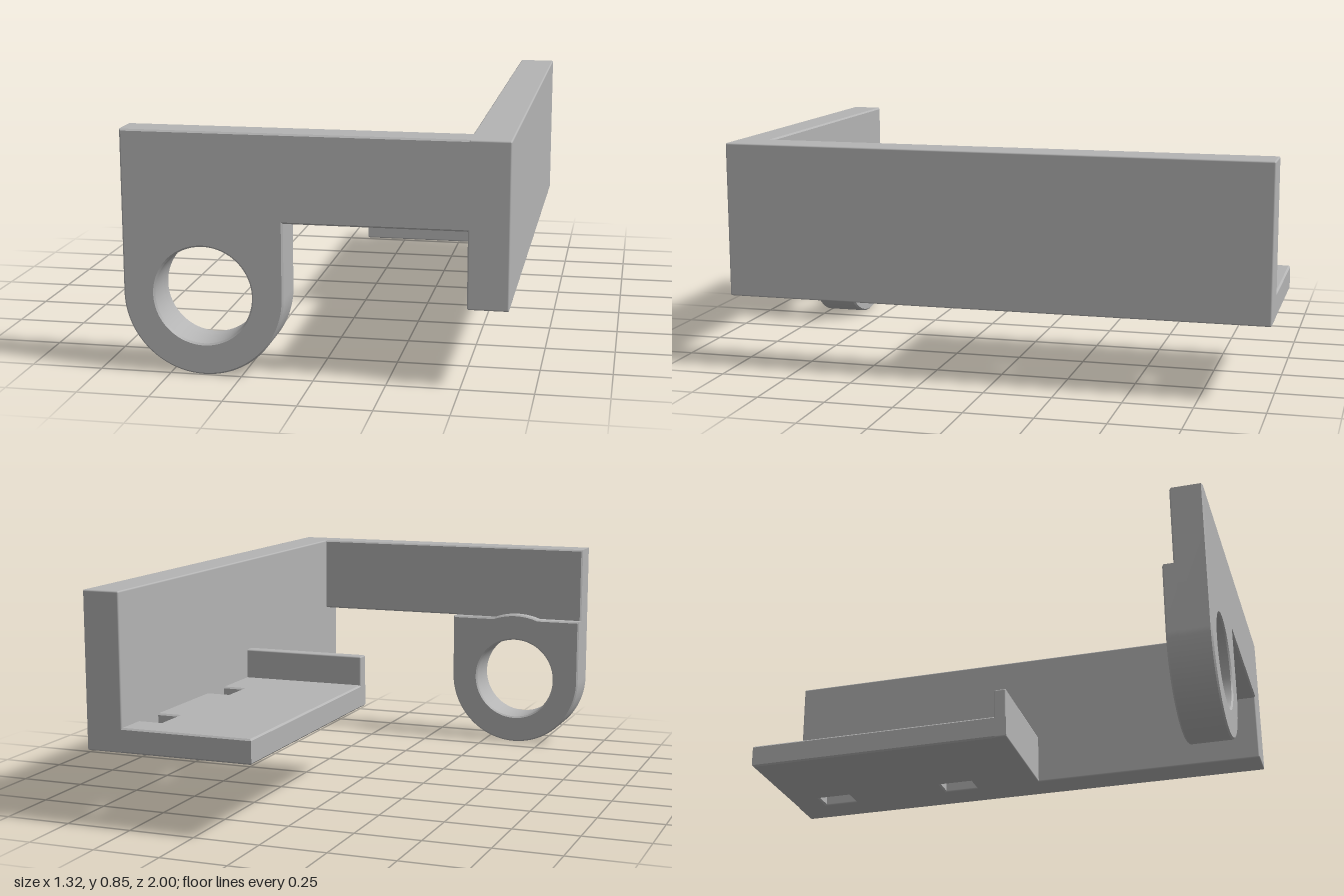
import * as THREE from 'three';
import { toCreasedNormals } from 'three/addons/utils/BufferGeometryUtils.js';
import { RoundedBoxGeometry } from 'three/addons/geometries/RoundedBoxGeometry.js';

const EDGE = 0.006; // small edge break

// Ring eye shared by the front plate and its rear boss
const EYE = { x: -0.38, y: 0.283, outer: 0.28, inner: 0.17 };
const PLATE_BOTTOM = 0.545;

// Extrudes a shape to an exact depth with broken edges, starting at z = 0
function bevelExtrude(shape, depth) {
  const geometry = new THREE.ExtrudeGeometry(shape, {
    depth: depth - 2 * EDGE, curveSegments: 48,
    bevelEnabled: true, bevelSegments: 1,
    bevelSize: EDGE, bevelThickness: EDGE, bevelOffset: -EDGE,
  });
  geometry.translate(0, 0, EDGE);
  return toCreasedNormals(geometry, 0.5);
}

function boxBetween(x0, x1, y0, y1, z0, z1) {
  const geometry = new RoundedBoxGeometry(x1 - x0, y1 - y0, z1 - z0, 2, EDGE);
  geometry.translate((x0 + x1) / 2, (y0 + y1) / 2, (z0 + z1) / 2);
  return geometry;
}

function addEyeHole(shape) {
  const hole = new THREE.Path();
  hole.absarc(EYE.x, EYE.y, EYE.inner, 0, Math.PI * 2, true);
  shape.holes.push(hole);
}

// Starts an outline with the rounded bottom of the eye
function eyeOutline() {
  const shape = new THREE.Shape();
  shape.moveTo(EYE.x - EYE.outer, EYE.y);
  shape.absarc(EYE.x, EYE.y, EYE.outer, Math.PI, Math.PI * 2, false);
  shape.lineTo(EYE.x + EYE.outer, PLATE_BOTTOM);
  return shape;
}

export function createModel() {
  const model = new THREE.Group();
  model.name = 'cornerBracket';
  const grey = new THREE.MeshStandardMaterial({ color: 0xb4b4b4 });
  grey.name = 'light grey';

  function add(name, geometry) {
    const mesh = new THREE.Mesh(geometry, grey);
    mesh.name = name;
    model.add(mesh);
  }

  // Long side wall
  add('sideWall', boxBetween(0.52, 0.66, 0.28, 0.85, -1, 1));

  // Front plate with the hanging eye, run into the side wall
  const plate = eyeOutline();
  plate.lineTo(0.6, PLATE_BOTTOM);
  plate.lineTo(0.6, 0.85);
  plate.lineTo(-0.66, 0.85);
  plate.closePath();
  addEyeHole(plate);
  add('frontPlate', bevelExtrude(plate, 0.12).translate(0, 0, 0.88));

  // Thicker boss behind the eye, its circle rising just above the flat top
  const boss = eyeOutline();
  const angle = Math.asin((PLATE_BOTTOM - EYE.y) / EYE.outer);
  boss.absarc(EYE.x, EYE.y, EYE.outer, angle, Math.PI - angle, false);
  boss.lineTo(EYE.x - EYE.outer, PLATE_BOTTOM);
  boss.closePath();
  addEyeHole(boss);
  add('eyeBoss', bevelExtrude(boss, 0.06).translate(0, 0, 0.84));

  // Shelf with two slots against the side wall
  const shelf = new THREE.Shape();
  shelf.moveTo(0.025, -1);
  shelf.lineTo(0.56, -1);
  shelf.lineTo(0.56, 0.08);
  shelf.lineTo(0.025, 0.08);
  shelf.closePath();
  for (const z of [-0.87, -0.325]) {
    const slot = new THREE.Path();
    slot.moveTo(0.435, z);
    slot.lineTo(0.435, z + 0.135);
    slot.lineTo(0.53, z + 0.135);
    slot.lineTo(0.53, z);
    slot.closePath();
    shelf.holes.push(slot);
  }
  add('shelf', bevelExtrude(shelf, 0.09).rotateX(Math.PI / 2).translate(0, 0.37, 0));

  // Upright lip on the front edge of the shelf
  add('shelfLip', boxBetween(0.025, 0.56, 0.28, 0.485, 0.03, 0.08));

  return model;
}
